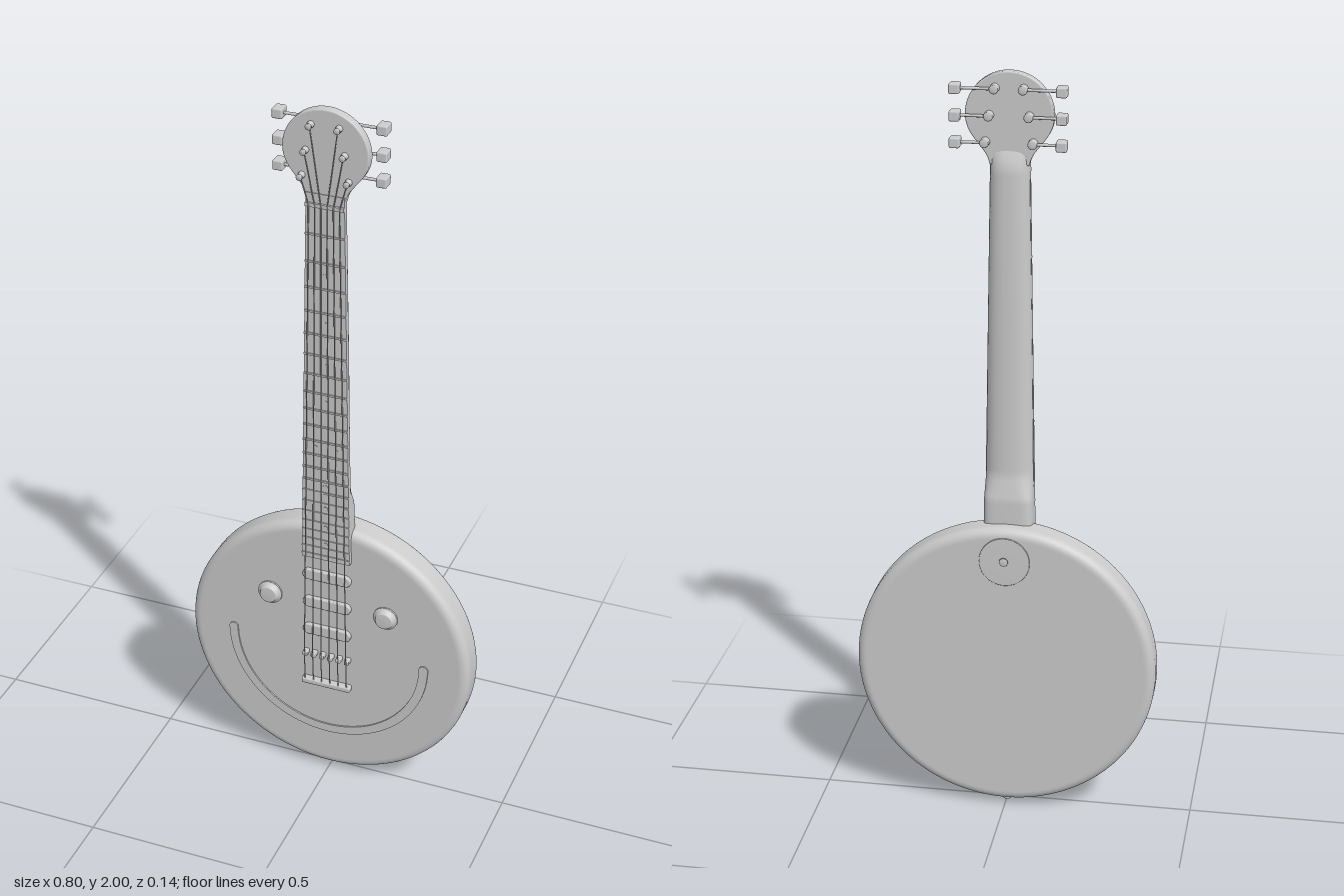
import * as THREE from 'three';
import { RoundedBoxGeometry } from 'three/addons/geometries/RoundedBoxGeometry.js';

const grey = new THREE.MeshStandardMaterial({ color: 0xcccccc });
const greyDouble = new THREE.MeshStandardMaterial({ color: 0xcccccc, side: THREE.DoubleSide });

const FACE = 0.035;      // front of the body
const BACK = -0.055;     // back of the body
const BOARD = 0.049;     // front of the fingerboard
const NUT_Y = 1.75, SCALE = 1.42;
const fretY = n => NUT_Y - SCALE + SCALE * Math.pow(2, -n / 12);
const halfWidth = y => THREE.MathUtils.mapLinear(y, 0.715, 1.78, 0.067, 0.05);

export function createModel() {
  const model = new THREE.Group();

  const add = (name, geometry, x = 0, y = 0, z = 0, parent = model, material = grey) => {
    const mesh = new THREE.Mesh(geometry, material);
    mesh.name = name;
    mesh.position.set(x, y, z);
    parent.add(mesh);
    return mesh;
  };
  const group = name => {
    const g = new THREE.Group();
    g.name = name;
    model.add(g);
    return g;
  };
  // Turned part: [radius, z] profile spun about the z axis
  const turned = (profile, segments = 24) =>
    new THREE.LatheGeometry(profile.map(p => new THREE.Vector2(...p)), segments).rotateX(Math.PI / 2);
  // Thin rod between two points
  const rod = (name, a, b, radius, parent, sides = 6) => {
    const dir = b.clone().sub(a);
    const mesh = add(name, new THREE.CylinderGeometry(radius, radius, dir.length(), sides), 0, 0, 0, parent);
    mesh.position.copy(a).add(b).multiplyScalar(0.5);
    mesh.quaternion.setFromUnitVectors(new THREE.Vector3(0, 1, 0), dir.normalize());
  };
  const plate = (shape, depth, bevel = 0) => new THREE.ExtrudeGeometry(shape, {
    depth, curveSegments: 32, bevelEnabled: bevel > 0,
    bevelSize: bevel, bevelOffset: -bevel, bevelThickness: bevel, bevelSegments: 3,
  });

  // Round body with softened rims
  const R = 0.4, r = 0.024;
  const profile = [[0, BACK], [R - r - 0.004, BACK]];
  for (let i = 0; i <= 6; i++) {
    const a = -Math.PI / 2 + i * Math.PI / 12;
    profile.push([R - r + r * Math.cos(a), BACK + r + r * Math.sin(a)]);
  }
  for (let i = 0; i <= 6; i++) {
    const a = i * Math.PI / 12;
    profile.push([R - r + r * Math.cos(a), FACE - r + r * Math.sin(a)]);
  }
  profile.push([R - r - 0.004, FACE], [0, FACE]);
  add('body', turned(profile, 96), 0, 0.415, 0);

  // Curved smile inlay
  const smile = new THREE.Shape();
  smile.absarc(0, 0, 0.287, Math.PI, 2 * Math.PI, false);
  smile.absarc(0.2745, 0, 0.0125, 0, Math.PI, false);
  smile.absarc(0, 0, 0.262, 2 * Math.PI, Math.PI, true);
  smile.absarc(-0.2745, 0, 0.0125, 0, Math.PI, false);
  add('smileInlay', plate(smile, 0.006), 0, 0.42, FACE - 0.002);

  // Knob eyes
  for (const s of [-1, 1]) {
    add('eyeKnob', turned([[0.034, 0], [0.034, 0.005], [0.034, 0.006], [0.028, 0.008], [0.024, 0.019],
      [0.022, 0.021], [0, 0.021]]), s * 0.165, 0.563, FACE - 0.001);
  }

  // Pickups: rounded bars under the strings
  const stadium = new THREE.Shape();
  stadium.absarc(0.052, 0, 0.016, -Math.PI / 2, Math.PI / 2, false);
  stadium.absarc(-0.052, 0, 0.016, Math.PI / 2, 1.5 * Math.PI, false);
  for (const y of [0.655, 0.565, 0.475]) {
    add('pickup', plate(stadium, 0.008, 0.003), 0, y, FACE);
  }

  // Bridge, saddles and tailpiece
  add('tailpiece', new RoundedBoxGeometry(0.14, 0.016, 0.022, 2, 0.004), 0, 0.303, 0.043);
  for (let i = 0; i < 6; i++) {
    add('saddle', new RoundedBoxGeometry(0.014, 0.014, 0.022, 2, 0.003), -0.06 + i * 0.024, 0.395, 0.043);
  }

  // Neck lofted from D-shaped sections: [y, half width, back z, squareness]
  const sections = [
    [0.72, 0.067, -0.015, 5], [0.87, 0.065, -0.015, 5], [0.89, 0.064, -0.013, 4.5],
    [0.93, 0.063, -0.002, 2.6], [0.96, 0.062, 0, 2.3], [1.35, 0.057, 0.002, 2.3],
    [1.74, 0.05, 0.005, 2.3], [1.775, 0.05, 0.01, 2.4], [1.81, 0.052, 0.026, 3],
  ];
  const N = 24, positions = [], index = [];
  sections.forEach(([y, w, back, n], j) => {
    for (let i = 0; i <= N; i++) {
      const a = Math.PI * i / N, c = Math.cos(a), s = Math.max(0, Math.sin(a));
      positions.push(w * Math.sign(c) * Math.abs(c) ** (2 / n), y, 0.04 - (0.04 - back) * s ** (2 / n));
      if (j > 0 && i < N) {
        const p = (j - 1) * (N + 1) + i, q = p + N + 1;
        index.push(p, p + 1, q, p + 1, q + 1, q);
      }
    }
  });
  const neck = new THREE.BufferGeometry();
  neck.setAttribute('position', new THREE.Float32BufferAttribute(positions, 3));
  neck.setIndex(index);
  neck.computeVertexNormals();
  add('neck', neck, 0, 0, 0, model, greyDouble);

  // Tapered fingerboard
  const b0 = 0.715, b1 = 1.78;
  const board = new THREE.Shape([
    new THREE.Vector2(-halfWidth(b0), b0), new THREE.Vector2(halfWidth(b0), b0),
    new THREE.Vector2(halfWidth(b1), b1), new THREE.Vector2(-halfWidth(b1), b1),
  ]);
  add('fingerboard', plate(board, BOARD - 0.034), 0, 0, 0.034);

  // Nut, frets and position dots
  add('nut', new THREE.BoxGeometry(0.101, 0.01, 0.012), 0, NUT_Y, BOARD);
  const frets = group('frets');
  for (let n = 1; n <= 22; n++) {
    const y = fretY(n);
    add('fret', new THREE.BoxGeometry(2 * halfWidth(y), 0.005, 0.006), 0, y, BOARD, frets);
  }
  const dot = new THREE.CylinderGeometry(0.007, 0.007, 0.003, 16).rotateX(Math.PI / 2);
  for (const n of [3, 5, 7, 9, 12, 15, 17, 19, 21]) {
    for (const x of n === 12 ? [-0.028, 0.028] : [0]) {
      add('positionDot', dot, x, (fretY(n) + fretY(n - 1)) / 2, BOARD, frets);
    }
  }

  // Rounded headstock
  const head = new THREE.Shape();
  head.moveTo(-0.05, 1.765);
  head.lineTo(0.05, 1.765);
  head.bezierCurveTo(0.055, 1.81, 0.111, 1.83, 0.111, 1.89);
  head.bezierCurveTo(0.111, 1.95, 0.062, 2, 0, 2);
  head.bezierCurveTo(-0.062, 2, -0.111, 1.95, -0.111, 1.89);
  head.bezierCurveTo(-0.111, 1.83, -0.055, 1.81, -0.05, 1.765);
  add('headstock', plate(head, 0.017, 0.004), 0, 0, 0.026);

  // Tuners: post in front, gear housing, shaft and button behind
  const tuners = [[0.036, 1.958], [0.05, 1.89], [0.06, 1.823]];
  const strings = group('strings');
  for (const s of [-1, 1]) {
    tuners.forEach(([x, y], k) => {
      const g = group('tuner');
      add('post', turned([[0.009, 0], [0.009, 0.006], [0.006, 0.008], [0.006, 0.014], [0.008, 0.016],
        [0.008, 0.021], [0, 0.021]], 12), s * x, y, 0.046, g);
      add('housing', turned([[0, -0.02], [0.01, -0.02], [0.012, -0.017], [0.012, 0.004]], 16), s * x, y, 0.02, g);
      rod('shaft', new THREE.Vector3(s * x, y, 0.01), new THREE.Vector3(s * 0.124, y, 0.01), 0.004, g, 8);
      add('button', new RoundedBoxGeometry(0.027, 0.026, 0.034, 2, 0.004), s * 0.133, y, 0.008, g);

      // String from tailpiece over saddle and nut to its post
      const slot = 2.5 - k;
      const path = [
        [s * slot * 0.024, 0.303, 0.05], [s * slot * 0.024, 0.395, 0.055],
        [s * slot * 0.016, NUT_Y, 0.056], [s * x, y, 0.058],
      ].map(p => new THREE.Vector3(...p));
      // Outer strings go to the lowest posts
      const low = tuners[2 - k];
      path[3].set(s * low[0], low[1], 0.058);
      for (let i = 0; i < 3; i++) rod('string', path[i], path[i + 1], 0.0014, strings);
    });
  }

  // Back plate with strap button, and end pin at the base
  add('backPlate', turned([[0, -0.004], [0.066, -0.004], [0.067, -0.003], [0.067, 0.003]], 40), 0, 0.725, BACK);
  const pin = [[0, -0.017], [0.011, -0.017], [0.012, -0.014], [0.006, -0.01], [0.006, -0.005], [0.009, 0]];
  add('strapButton', turned(pin, 16), 0, 0.73, BACK);
  add('endPin', turned(pin, 16), 0, 0.017, -0.01).rotation.x = -Math.PI / 2;

  return model;
}
